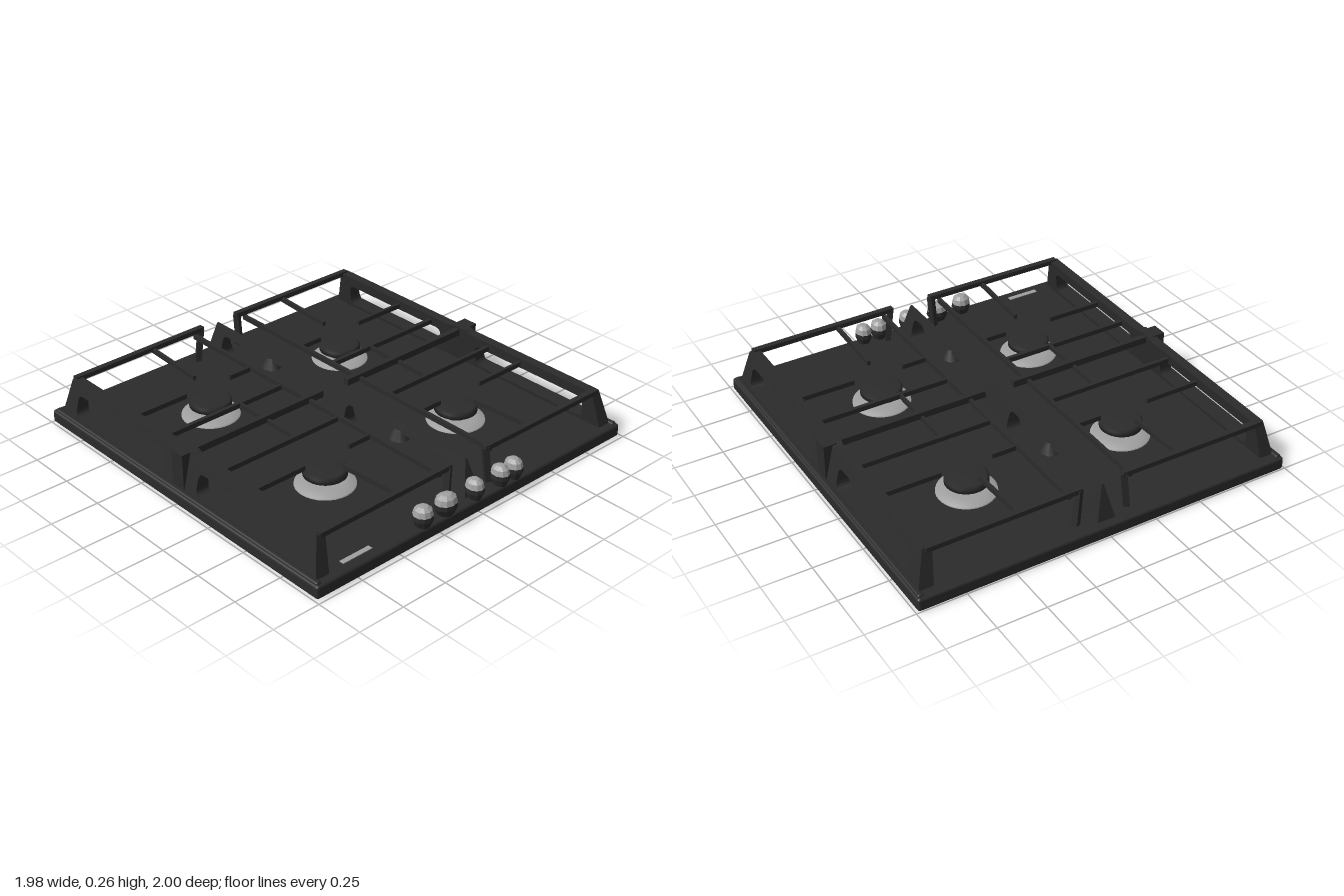
import * as THREE from 'three';
import { RoundedBoxGeometry } from 'three/addons/geometries/RoundedBoxGeometry.js';

const mat = (name, color) => Object.assign(new THREE.MeshStandardMaterial({ color }), { name });
const black = mat('blackEnamel', 0x2b2b2b);
const grey = mat('greyMetal', 0xa0a0a0);

const FLOOR = 0.066;
const lerp = THREE.MathUtils.lerp;

function add(parent, name, geometry, material, x = 0, y = 0, z = 0) {
  const mesh = new THREE.Mesh(geometry, material);
  mesh.name = name;
  mesh.position.set(x, y, z);
  parent.add(mesh);
  return mesh;
}

// Straight rectangular bar between two points
function bar(parent, name, a, b, w = 0.02, h = 0.025) {
  const p = new THREE.Vector3(...a), q = new THREE.Vector3(...b);
  const mesh = add(parent, name, new THREE.BoxGeometry(w, h, p.distanceTo(q)), black);
  mesh.position.copy(p).lerp(q, 0.5);
  mesh.lookAt(q);
  return mesh;
}

// Long wall along z with two rounded openings; xRange(t) gives its inner and outer x at height fraction t
function openWall(top, xRange) {
  const shape = new THREE.Shape();
  [[-0.94, FLOOR - 0.01], [0.95, FLOOR - 0.01], [0.905, top], [0.06, top], [0.04, top + 0.012],
    [-0.04, top + 0.012], [-0.06, top], [-0.89, top]]
    .forEach(([u, y], i) => (i ? shape.lineTo(u, y) : shape.moveTo(u, y)));
  for (const [u0, u1] of [[-0.83, -0.11], [0.14, 0.84]]) {
    const r = 0.035, y0 = 0.085, y1 = 0.197;
    const hole = new THREE.Path();
    hole.moveTo(u0 + r, y0);
    hole.lineTo(u1 - r, y0);
    hole.quadraticCurveTo(u1, y0, u1, y0 + r);
    hole.lineTo(u1, y1 - r);
    hole.quadraticCurveTo(u1, y1, u1 - r, y1);
    hole.lineTo(u0 + r, y1);
    hole.quadraticCurveTo(u0, y1, u0, y1 - r);
    hole.lineTo(u0, y0 + r);
    hole.quadraticCurveTo(u0, y0, u0 + r, y0);
    shape.holes.push(hole);
  }
  const geo = new THREE.ExtrudeGeometry(shape, { depth: 1, bevelEnabled: false, curveSegments: 4 });
  geo.rotateY(Math.PI / 2);
  const pos = geo.attributes.position;
  for (let i = 0; i < pos.count; i++) {
    const t = (pos.getY(i) - FLOOR) / (top - FLOOR);
    const [inner, outer] = xRange(t);
    pos.setX(i, lerp(inner, outer, pos.getX(i)));
  }
  geo.computeVertexNormals();
  return geo;
}

// One pan support; s is the side (+1 or -1)
function grate(s) {
  const g = new THREE.Group();
  g.name = s > 0 ? 'leftGrate' : 'rightGrate';
  const range = (t) => {
    const a = lerp(0.885, 0.865, t), b = lerp(0.96, 0.915, t);
    return s > 0 ? [a, b] : [-b, -a];
  };
  add(g, 'sideWall', openWall(0.252, range), black);
  const X = (x) => s * x;

  // Front and back rails with their inner legs
  for (const z of [-0.905, 0.885]) {
    const end = Math.sign(z);
    bar(g, 'endRail', [X(0.9), 0.248, z], [X(0.11), 0.252, z], 0.03, 0.025);
    bar(g, 'innerLeg', [X(0.14), FLOOR - 0.01, z + end * 0.01], [X(0.12), 0.255, z], 0.03, 0.03);
  }
  // Inner rail and middle cross rail
  bar(g, 'innerRail', [X(0.165), 0.225, -0.9], [X(0.165), 0.225, 0.88], 0.018, 0.025);
  bar(g, 'middleRail', [X(0.93), 0.235, -0.01], [X(0.08), 0.235, -0.01], 0.028, 0.035);
  add(g, 'middleClasp', new THREE.BoxGeometry(0.07, 0.2, 0.08), black, X(0.925), 0.163, -0.01);

  // Thin fingers pointing at the burners
  const y = 0.22, x = 0.43;
  for (const z of [-0.21, 0.2]) bar(g, 'crossFinger', [X(0.88), y, z], [X(0.165), y, z]);
  bar(g, 'centreFinger', [X(x), y, -0.21], [X(x), y, 0.2], 0.014);
  bar(g, 'backFinger', [X(x), 0.24, -0.9], [X(x), y, -0.56], 0.016);
  bar(g, 'frontFinger', [X(x), 0.24, 0.88], [X(x), y, 0.53], 0.016);
  for (const z of [-0.45, 0.42]) {
    bar(g, 'outerFinger', [X(0.88), y, z], [X(0.57), y, z], 0.016);
    bar(g, 'innerFinger', [X(0.3), y, z], [X(0.165), y, z], 0.016);
  }
  return g;
}

function burner(x, z) {
  const g = new THREE.Group();
  g.name = 'burner';
  g.position.set(x, 0, z);
  const ring = [[0.148, FLOOR], [0.145, 0.076], [0.1, 0.088], [0.05, 0.088]];
  add(g, 'burnerRing', new THREE.LatheGeometry(ring.map((p) => new THREE.Vector2(...p)), 32), grey);
  add(g, 'burnerStem', new THREE.CylinderGeometry(0.055, 0.055, 0.05, 20), black, 0, 0.1, 0);
  const cap = [[0, 0.108], [0.075, 0.108], [0.106, 0.122], [0.106, 0.147], [0.095, 0.156], [0, 0.157]];
  add(g, 'burnerCap', new THREE.LatheGeometry(cap.map((p) => new THREE.Vector2(...p)), 28), black);
  return g;
}

// Faceted control knob: dark body with a pale upper shell
function knob(x, width) {
  const g = new THREE.Group();
  g.name = 'knob';
  g.position.set(x, 0.118, 0.945);
  g.scale.x = width / 0.1;
  const body = [[0, -0.058], [0.034, -0.055], [0.05, -0.015], [0.049, 0.008]];
  const shell = [[0.049, 0.008], [0.042, 0.035], [0.022, 0.05], [0, 0.052]];
  for (const [name, pts, m] of [['knobBody', body, black], ['knobTop', shell, grey]]) {
    const geo = new THREE.LatheGeometry(pts.map((p) => new THREE.Vector2(...p)), 10).toNonIndexed();
    geo.computeVertexNormals();
    add(g, name, geo, m);
  }
  return g;
}

export function createModel() {
  const model = new THREE.Group();
  model.name = 'gasHob';

  // Base tray with a low raised edge on the sides
  add(model, 'baseTray', new RoundedBoxGeometry(1.98, 0.068, 1.98, 2, 0.014), black, 0, 0.034, -0.01);
  for (const s of [-1, 1]) {
    add(model, 'trayEdge', new RoundedBoxGeometry(0.03, 0.03, 1.95, 2, 0.01), black, s * 0.967, 0.063, -0.01);
  }

  // Centre divider, narrowing to a sharp top
  const ridge = (t) => { const w = lerp(0.048, 0.005, t); return [-w, w]; };
  add(model, 'centreDivider', openWall(0.243, ridge), black, 0, 0, -0.01);
  for (const z of [-0.48, 0.45]) {
    add(model, 'dividerBoss', new THREE.CylinderGeometry(0.025, 0.052, 0.055, 8), black, 0, 0.185, z);
  }

  model.add(grate(1), grate(-1));
  for (const x of [-0.43, 0.43]) for (const z of [-0.44, 0.405]) model.add(burner(x, z));
  for (const [x, w] of [[-0.335, 0.1], [-0.19, 0.12], [-0.005, 0.085], [0.165, 0.085], [0.255, 0.085]]) {
    model.add(knob(x, w));
  }

  // Pale plate at the front corner
  add(model, 'frontPlate', new THREE.BoxGeometry(0.17, 0.006, 0.025), grey, -0.71, 0.069, 0.915);
  return model;
}
